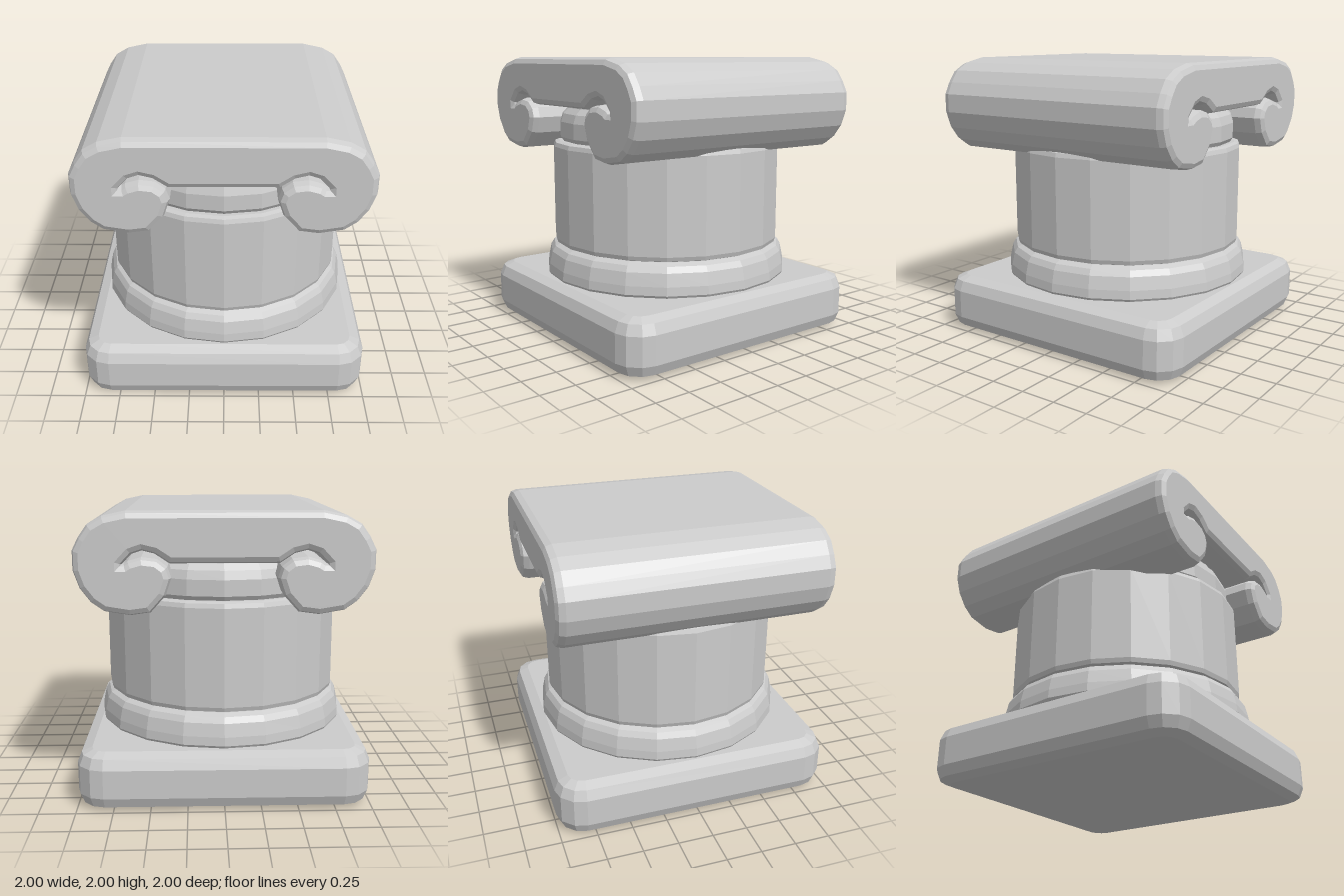
import * as THREE from 'three';

const stone = new THREE.MeshStandardMaterial({ color: 0xcccccc, flatShading: true });
const vec = ([x, y]) => new THREE.Vector2(x, y);

function addMesh(group, name, geometry) {
  const mesh = new THREE.Mesh(geometry, stone);
  mesh.name = name;
  group.add(mesh);
}

// Twenty-sided turned part from a [radius, height] profile, bottom to top
const turned = (profile) => new THREE.LatheGeometry(profile.map(vec), 20);

// Outline of a rounded square with three facets per corner
function roundedSquare(half, radius) {
  const points = [];
  for (let corner = 0; corner < 4; corner++) {
    const start = corner * Math.PI / 2;
    const cx = (half - radius) * Math.SQRT2 * Math.cos(start + Math.PI / 4);
    const cy = (half - radius) * Math.SQRT2 * Math.sin(start + Math.PI / 4);
    for (let i = 0; i <= 3; i++) {
      const a = start + i * Math.PI / 6;
      points.push(new THREE.Vector2(cx + radius * Math.cos(a), cy + radius * Math.sin(a)));
    }
  }
  return new THREE.Shape(points);
}

// Capital: mirrored half outline of the slab and its curled end, with bevelled faces
function scrollGeometry() {
  const half = [
    [0.62, 1.955], [0.76, 1.925], [0.84, 1.88], [0.89, 1.81], [0.925, 1.74],
    [0.925, 1.63], [0.89, 1.53], [0.83, 1.45], [0.76, 1.4], [0.61, 1.375],
    [0.5, 1.39], [0.42, 1.48], [0.39, 1.57], [0.405, 1.615], [0.45, 1.65],
    [0.53, 1.66], [0.6, 1.64], [0.63, 1.62], [0.7, 1.62], [0.7, 1.68],
    [0.62, 1.765], [0.53, 1.795], [0.43, 1.77], [0.34, 1.71],
  ];
  const mirrored = half.map(([x, y]) => [-x, y]).reverse();
  const shape = new THREE.Shape([...half, ...mirrored].map(vec));
  const geometry = new THREE.ExtrudeGeometry(shape, {
    depth: 1.76, bevelThickness: 0.06, bevelSize: 0.045, bevelSegments: 2,
  });
  return geometry.translate(0, 0, -0.88);
}

export function createModel() {
  const group = new THREE.Group();
  group.name = 'columnPedestal';

  // Square plinth with rounded corners and edges
  const plinth = new THREE.ExtrudeGeometry(roundedSquare(0.9, 0.1), {
    depth: 0.2, bevelThickness: 0.1, bevelSize: 0.1, bevelSegments: 2,
  });
  addMesh(group, 'plinth', plinth.rotateX(-Math.PI / 2).translate(0, 0.1, 0));

  // Bulging foot ring
  addMesh(group, 'footRing', turned([
    [0, 0.413], [0.9, 0.413], [0.91, 0.43], [0.905, 0.49], [0.885, 0.58],
    [0.86, 0.62], [0.82, 0.64], [0, 0.64],
  ]));

  // Plain shaft with chamfered ends
  addMesh(group, 'shaft', turned([
    [0, 0.64], [0.81, 0.64], [0.84, 0.65], [0.85, 0.68],
    [0.85, 1.36], [0.84, 1.39], [0.81, 1.4], [0, 1.4],
  ]));

  // Neck ring tucked under the capital
  addMesh(group, 'neckRing', turned([
    [0, 1.4], [0.78, 1.4], [0.8, 1.43], [0.8, 1.54],
    [0.78, 1.6], [0.74, 1.64], [0.7, 1.76], [0, 1.76],
  ]));

  addMesh(group, 'scrollCapital', scrollGeometry());
  return group;
}
